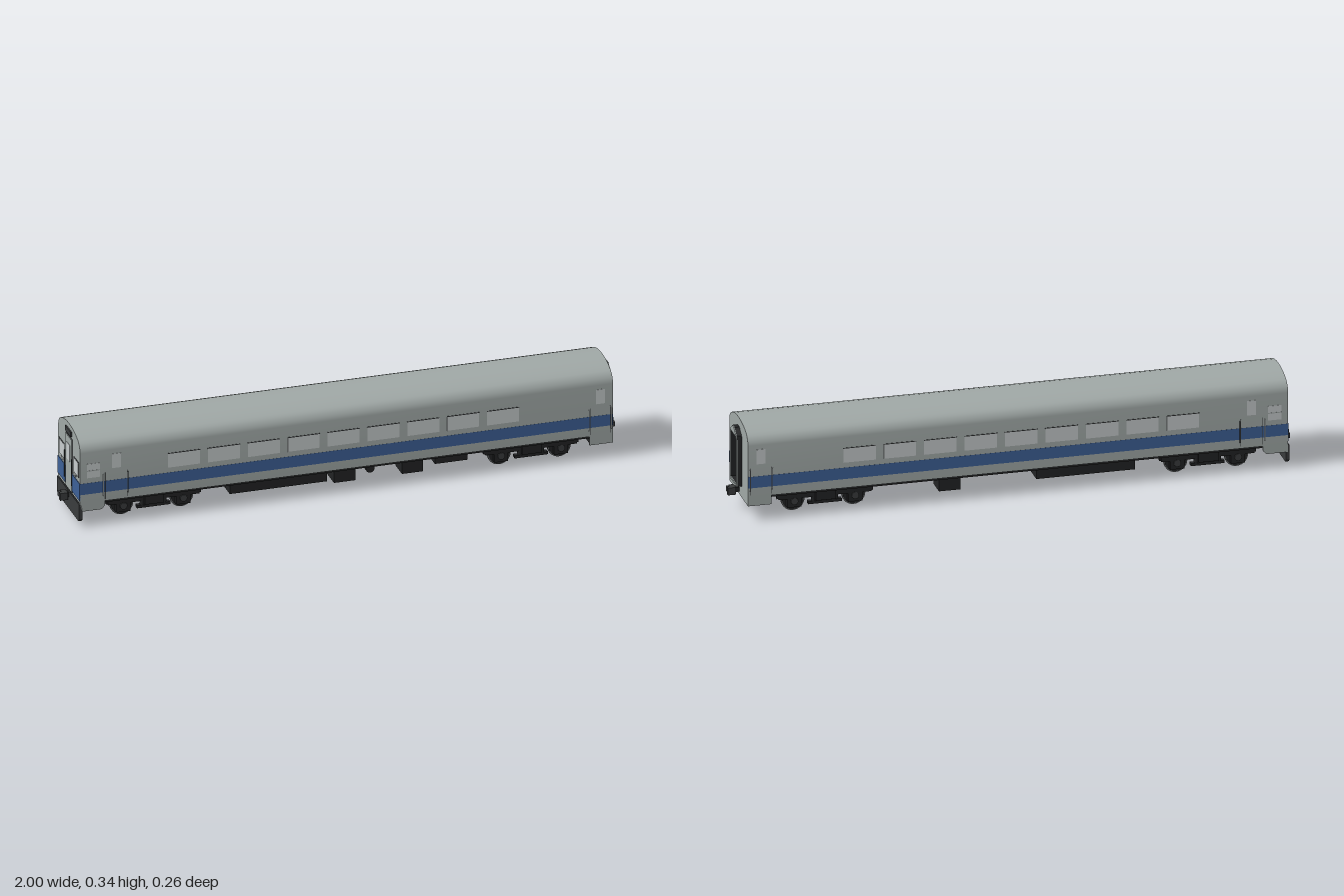
import * as THREE from 'three';
import { toCreasedNormals } from 'three/addons/utils/BufferGeometryUtils.js';

const mat = (name, color) => Object.assign(new THREE.MeshStandardMaterial({ color }), { name });

export function createModel() {
  const steel = mat('steel', 0xa0a8a6);
  const glass = mat('window', 0xc6cbcc);
  const blue = mat('blue stripe', 0x3d6096);
  const black = mat('underframe black', 0x222324);
  const dark = mat('dark grey', 0x3a3c3d);
  const wheelGrey = mat('wheel grey', 0x626566);

  const root = new THREE.Group();
  root.name = 'passengerCar';

  const add = (name, geo, m, x = 0, y = 0, z = 0, parent = root) => {
    const mesh = new THREE.Mesh(geo, m);
    mesh.name = name;
    mesh.position.set(x, y, z);
    parent.add(mesh);
    return mesh;
  };
  // box given by its x, y and z limits
  const box = (name, m, x0, x1, y0, y1, z0, z1, parent = root) =>
    add(name, new THREE.BoxGeometry(x1 - x0, y1 - y0, z1 - z0), m,
      (x0 + x1) / 2, (y0 + y1) / 2, (z0 + z1) / 2, parent);
  // thin plate on both long sides
  const sidePlates = (name, m, x0, x1, y0, y1, t = 0.001) => {
    for (const s of [1, -1]) box(name, m, x0, x1, y0, y1, s > 0 ? 0.1255 : -0.1255 - t, s > 0 ? 0.1255 + t : -0.1255);
  };
  // cross-section in (z, y) extruded along x
  const extrudeX = (shape, x0, x1) => {
    const g = new THREE.ExtrudeGeometry(shape, { depth: x1 - x0, bevelEnabled: false, curveSegments: 10 });
    g.rotateY(Math.PI / 2);
    g.translate(x0, 0, 0);
    return toCreasedNormals(g, 0.6);
  };
  // symmetric outline from the points of its right half, bottom to top
  const mirrored = (half) => new THREE.Shape([
    ...half.map(([z, y]) => new THREE.Vector2(z, y)),
    ...half.slice().reverse().filter(([z]) => z > 0).map(([z, y]) => new THREE.Vector2(-z, y)),
  ]);

  // Body shell with arched roof
  const section = mirrored([[0.126, 0.088], [0.126, 0.278], [0.1245, 0.288], [0.12, 0.298], [0.112, 0.309],
    [0.1, 0.317], [0.08, 0.325], [0.055, 0.332], [0.028, 0.336], [0, 0.337]]);
  add('body', extrudeX(section, -0.962, 0.957), steel);
  box('floor', black, -0.955, 0.95, 0.08, 0.0885, -0.121, 0.121);

  // Lowered vestibule skirts at both ends
  const skirt = new THREE.Shape([[-0.962, 0.058], [-0.885, 0.058], [-0.873, 0.07], [-0.873, 0.089], [-0.962, 0.089]]
    .map(([x, y]) => new THREE.Vector2(x, y)));
  for (const s of [1, -1]) {
    const g = new THREE.ExtrudeGeometry(skirt, { depth: 0.01, bevelEnabled: false });
    add('cabSkirt', g, steel, 0, 0, s > 0 ? 0.116 : -0.126);
    box('rearSkirt', steel, 0.873, 0.957, 0.055, 0.089, s > 0 ? 0.116 : -0.126, s > 0 ? 0.126 : -0.116);
    box('stepWell', black, 0.875, 0.95, 0.058, 0.085, s > 0 ? 0.075 : -0.116, s > 0 ? 0.116 : -0.075);
  }
  box('rearEndSill', steel, 0.947, 0.957, 0.055, 0.089, -0.116, 0.116);
  box('cabEndSill', black, -0.962, -0.952, 0.058, 0.089, -0.116, 0.116);

  // Side stripe, windows, doors and grab rails
  sidePlates('stripe', blue, -0.962, 0.957, 0.121, 0.163);
  for (let i = 0; i < 9; i++) {
    const x = -0.588 + i * 0.1436;
    sidePlates('windowFrame', dark, x - 0.0585, x + 0.0585, 0.234, 0.2365, 0.002);
    sidePlates('sideWindow', glass, x - 0.0575, x + 0.0575, 0.182, 0.235, 0.0015);
  }
  sidePlates('cabSideWindow', glass, -0.938, -0.89, 0.182, 0.235, 0.0015);
  sidePlates('cabWindowBar', steel, -0.938, -0.89, 0.207, 0.21, 0.002);
  sidePlates('doorWindow', glass, -0.847, -0.815, 0.208, 0.262, 0.0015);
  sidePlates('doorWindow', glass, 0.895, 0.927, 0.208, 0.262, 0.0015);
  for (const x of [-0.871, -0.793, 0.874, 0.947]) sidePlates('doorSeam', dark, x - 0.0008, x + 0.0008, 0.095, 0.195, 0.0014);
  for (const s of [1, -1]) for (const x of [-0.879, -0.79, 0.87, 0.95]) {
    const m = x === -0.79 ? dark : glass;
    const rail = add('grabRail', new THREE.CylinderGeometry(0.0015, 0.0015, 0.08, 6), m, x, 0.15, s * 0.13);
    for (const y of [-0.039, 0.039]) add('railBracket', new THREE.BoxGeometry(0.002, 0.002, 0.005), m, 0, y, -s * 0.002, rail);
  }

  // Cab end: door, windows, blue panels, sign
  const cab = (name, m, y0, y1, z0, z1, t = 0.002) => box(name, m, -0.962 - t, -0.961, y0, y1, z0, z1);
  cab('cabDoorFrame', dark, 0.09, 0.292, -0.036, 0.036, 0.001);
  cab('cabDoor', steel, 0.092, 0.29, -0.034, 0.034, 0.003);
  cab('cabDoorWindow', glass, 0.2, 0.262, -0.018, 0.018, 0.004);
  cab('endSign', dark, 0.3, 0.318, -0.03, 0.03, 0.005);
  for (const s of [1, -1]) {
    const span = (a, b) => (s > 0 ? [a, b] : [-b, -a]);
    cab('cabBluePanel', blue, 0.098, 0.163, ...span(0.04, 0.126));
    cab('cabWindowSurround', dark, 0.18, 0.238, ...span(0.052, 0.112), 0.001);
    cab('cabEndWindow', glass, 0.183, 0.235, ...span(0.055, 0.109), 0.002);
    cab('headlight', glass, 0.172, 0.18, ...span(0.06, 0.085), 0.003);
    add('doorRail', new THREE.CylinderGeometry(0.0015, 0.0015, 0.1, 6), dark, -0.966, 0.17, s * 0.041);
  }
  // Pilot plate under the cab
  add('pilot', extrudeX(mirrored([[0.118, 0.02], [0.126, 0.028], [0.126, 0.085]]), -0.966, -0.954), dark);

  // Rear gangway: black tunnel, steel face rim, end door
  const gable = [[0.046, 0.098], [0.046, 0.27], [0.041, 0.284], [0.02, 0.296], [0.013, 0.305]];
  const hole = mirrored([[0.038, 0.106], [0.038, 0.272], [0.032, 0.28]]);
  const ring = mirrored(gable);
  ring.holes.push(hole);
  add('gangway', extrudeX(ring, 0.956, 0.974), black);
  add('gangwayRim', extrudeX(ring, 0.974, 0.977), steel);
  box('endDoorWindow', glass, 0.956, 0.959, 0.208, 0.246, -0.014, 0.014);

  // Couplers at both ends
  for (const s of [1, -1]) {
    const c = new THREE.Group();
    c.name = 'coupler';
    c.rotation.y = s > 0 ? 0 : Math.PI;
    root.add(c);
    box('couplerShank', black, 0.93, 0.98, 0.064, 0.08, -0.009, 0.009, c);
    box('couplerHead', dark, 0.972, 0.99, 0.058, 0.085, -0.019, 0.013, c);
    box('couplerJaw', dark, 0.988, 1.0, 0.058, 0.085, -0.019, -0.003, c);
    box('couplerKnuckle', dark, 0.988, 0.998, 0.063, 0.08, 0.004, 0.018, c);
  }

  // Underfloor equipment
  box('centreSill', black, -0.95, 0.95, 0.068, 0.082, -0.025, 0.025);
  box('equipmentTank', black, -0.42, -0.07, 0.046, 0.085, -0.116, 0.116);
  box('equipmentBox', black, -0.045, 0.033, 0.036, 0.085, 0.03, 0.116);
  box('equipmentBox', black, 0.2, 0.276, 0.036, 0.085, 0.045, 0.116);
  box('equipmentBox', black, 0.2, 0.276, 0.036, 0.085, -0.116, -0.045);
  box('equipmentBox', black, 0.322, 0.44, 0.052, 0.085, -0.04, 0.105);
  const air = add('airTank', new THREE.CylinderGeometry(0.016, 0.016, 0.16, 14), black, 0.088, 0.07, 0.03);
  air.rotation.x = Math.PI / 2;

  // Bogies
  for (const cx of [-0.686, 0.674]) {
    const b = new THREE.Group();
    b.name = 'bogie';
    b.position.x = cx;
    root.add(b);
    box('bolster', black, -0.035, 0.035, 0.04, 0.082, -0.1, 0.1, b);
    for (const x of [-0.165, 0.155]) box('crossBeam', black, x, x + 0.01, 0.052, 0.066, -0.09, 0.09, b);
    for (const wx of [-0.108, 0.108]) {
      const axle = add('axle', new THREE.CylinderGeometry(0.008, 0.008, 0.17, 10), black, wx, 0.042, 0, b);
      axle.rotation.x = Math.PI / 2;
      for (const s of [1, -1]) {
        const w = add('wheel', new THREE.CylinderGeometry(0.042, 0.042, 0.009, 28), wheelGrey, wx, 0.042, s * 0.061, b);
        w.rotation.x = Math.PI / 2;
        add('wheelFace', new THREE.CylinderGeometry(0.038, 0.038, 0.004, 24), black, wx, 0.042, s * 0.066, b).rotation.x = Math.PI / 2;
        box('axleBox', black, wx - 0.025, wx + 0.025, 0.019, 0.066, s * 0.08 - 0.008, s * 0.08 + 0.008, b);
        add('bearingCap', new THREE.CylinderGeometry(0.013, 0.013, 0.006, 12), dark, wx, 0.042, s * 0.09, b).rotation.x = Math.PI / 2;
      }
    }
    for (const s of [1, -1]) {
      const z = s * 0.082;
      box('sideFrame', black, -0.165, 0.165, 0.052, 0.074, z - 0.009, z + 0.009, b);
      box('springPlank', black, -0.06, 0.06, 0.026, 0.036, z - 0.009, z + 0.009, b);
      for (const x of [-0.04, -0.015, 0.015, 0.04])
        add('spring', new THREE.CylinderGeometry(0.008, 0.008, 0.02, 10), black, x, 0.043, z, b);
      for (const x of [-0.165, 0.165]) box('hanger', black, x - 0.006, x + 0.006, 0.055, 0.085, z - 0.006, z + 0.006, b);
    }
  }
  return root;
}
